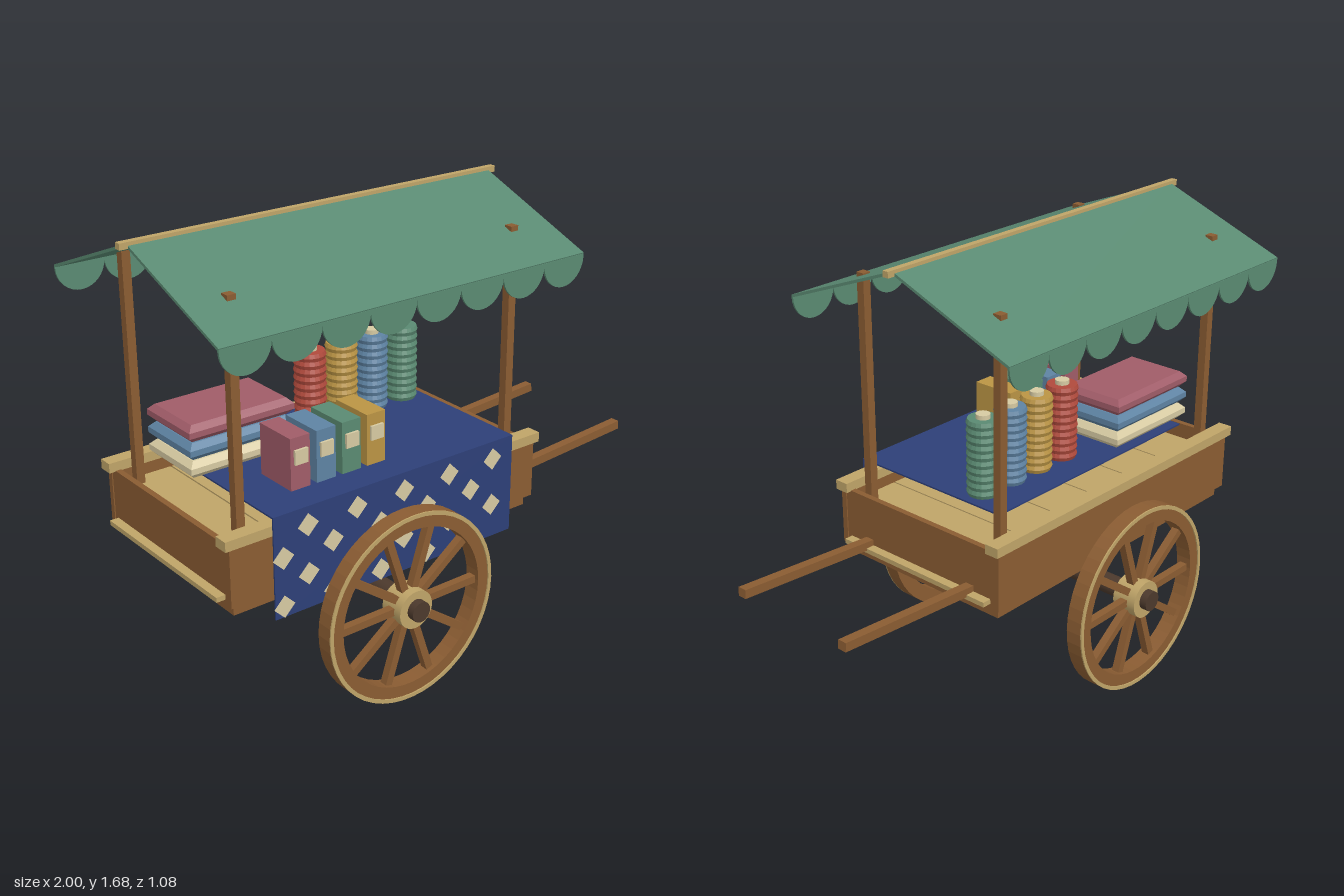
import * as THREE from 'three';

const mat = (name, color) => Object.assign(new THREE.MeshStandardMaterial({ color }), { name });

export function createModel() {
  const wood = mat('brown wood', 0x8a5c32);
  const pale = mat('pale wood', 0xbfa468);
  const dark = mat('dark axle', 0x4c392c);
  const green = mat('green canvas', 0x5a8a72);
  const navy = mat('navy cloth', 0x2d3f78);
  const cream = mat('cream', 0xd6caa2);
  const red = mat('red thread', 0xb04a3c);
  const gold = mat('gold', 0xba9444);
  const blue = mat('soft blue', 0x5e83a3);
  const rose = mat('rose', 0xa05c68);
  navy.side = THREE.DoubleSide;

  const model = new THREE.Group();
  model.name = 'marketCart';

  const add = (name, geo, material, x = 0, y = 0, z = 0, parent = model) => {
    const m = new THREE.Mesh(geo, material);
    m.name = name;
    m.position.set(x, y, z);
    parent.add(m);
    return m;
  };
  // Box given by its minimum and maximum corners
  const box = (name, material, x0, x1, y0, y1, z0, z1, parent = model) =>
    add(name, new THREE.BoxGeometry(x1 - x0, y1 - y0, z1 - z0), material,
      (x0 + x1) / 2, (y0 + y1) / 2, (z0 + z1) / 2, parent);
  const ring = (outer, inner, depth) => {
    const s = new THREE.Shape().absarc(0, 0, outer, 0, Math.PI * 2, false);
    s.holes.push(new THREE.Path().absarc(0, 0, inner, 0, Math.PI * 2, true));
    return new THREE.ExtrudeGeometry(s, { depth, bevelEnabled: false, curveSegments: 24 });
  };

  // Cart body: base, walls, planked floor
  box('base', wood, -0.87, 0.40, 0.50, 0.545, -0.36, 0.36);
  for (const s of [-1, 1]) {
    add('sideBoard', new THREE.BoxGeometry(1.31, 0.22, 0.022), wood, -0.235, 0.65, s * 0.369);
    add('sideRail', new THREE.BoxGeometry(1.346, 0.036, 0.055), pale, -0.237, 0.772, s * 0.363);
    add('endBoard', new THREE.BoxGeometry(0.022, 0.212, 0.716), wood, -0.235 + s * 0.64, 0.651, 0);
    add('endLedge', new THREE.BoxGeometry(0.04, 0.018, 0.68), pale, -0.235 + s * 0.665, 0.565, 0);
  }
  box('floorBed', wood, -0.87, 0.40, 0.66, 0.69, -0.358, 0.358);
  for (let i = 0; i < 6; i++) {
    const x = -0.86 + i * 0.209;
    box('floorPlank', pale, x, x + 0.203, 0.69, 0.70, -0.356, 0.356);
  }

  // Pull handles, rising slightly towards the free end
  for (const s of [-1, 1]) {
    const h = add('handle', new THREE.BoxGeometry(0.59, 0.033, 0.035), wood, 0.705, 0.6, s * 0.245);
    h.rotation.z = 0.071;
  }

  // Axle and wheels
  const axle = add('axle', new THREE.CylinderGeometry(0.038, 0.038, 1.08, 24), dark, -0.235, 0.36, 0);
  axle.rotation.x = Math.PI / 2;
  for (const s of [-1, 1]) {
    const wheel = new THREE.Group();
    wheel.name = s > 0 ? 'frontWheel' : 'backWheel';
    wheel.position.set(-0.235, 0.357, s * 0.464);
    if (s < 0) wheel.rotation.y = Math.PI;
    model.add(wheel);
    add('rim', ring(0.356, 0.298, 0.061), wood, 0, 0, -0.03, wheel);
    add('tyreEdge', ring(0.356, 0.342, 0.005), pale, 0, 0, 0.031, wheel);
    const hub = add('hub', new THREE.CylinderGeometry(0.071, 0.071, 0.095, 24), pale, 0, 0, 0, wheel);
    hub.rotation.x = Math.PI / 2;
    for (let i = 0; i < 10; i++) {
      const a = (i * Math.PI) / 5;
      const spoke = add('spoke', new THREE.BoxGeometry(0.25, 0.028, 0.03), wood,
        0.18 * Math.cos(a), 0.18 * Math.sin(a), 0, wheel);
      spoke.rotation.z = a;
    }
  }

  // Four posts reaching just through the canopy
  for (const x of [-0.81, 0.336])
    for (const z of [-0.313, 0.313]) box('post', wood, x - 0.016, x + 0.016, 0.54, 1.562, z - 0.016, z + 0.016);

  // Canopy: two slopes, ridge pole and scalloped valances
  const ridgeY = 1.665, eaveY = 1.474, eaveZ = 0.497, x0 = -0.97, span = 1.47;
  const slope = Math.atan2(ridgeY - eaveY, eaveZ);
  const scallops = 8, r = span / scallops / 2;
  const edge = new THREE.Shape();
  edge.moveTo(0, 0.008);
  edge.lineTo(0, 0);
  for (let i = 0; i < scallops; i++) edge.absarc(r * (2 * i + 1), 0, r, Math.PI, Math.PI * 2, false);
  edge.lineTo(span, 0.008);
  const valance = new THREE.ExtrudeGeometry(edge, { depth: 0.008, bevelEnabled: false, curveSegments: 8 });
  for (const s of [-1, 1]) {
    const panel = add('canopySlope',
      new THREE.BoxGeometry(span, 0.01, Math.hypot(eaveZ, ridgeY - eaveY)), green,
      x0 + span / 2, (ridgeY + eaveY) / 2, s * eaveZ / 2);
    panel.rotation.x = s * slope;
    add('valance', valance, green, x0, 1.467, s * 0.495 - 0.004);
  }
  box('ridgePole', pale, -1.0, 0.53, 1.656, 1.678, -0.012, 0.012);

  // Cloth over the counter with a front drop and diamonds
  box('clothTop', navy, -0.735, 0.294, 0.817, 0.823, -0.27, 0.4);
  box('clothDrop', navy, -0.735, 0.294, 0.45, 0.823, 0.394, 0.4);
  const diamond = new THREE.CircleGeometry(0.042, 4);
  for (let row = 0; row < 4; row++)
    for (let i = 0; i < 5; i++)
      add('diamond', diamond, cream, -0.6 - (row % 2) * 0.1 + i * 0.2, 0.757 - row * 0.089, 0.402);

  // Thread rolls with ridged sides
  const profile = [new THREE.Vector2(0, 0), new THREE.Vector2(0.054, 0)];
  const ridges = 10, rollH = 0.285;
  for (let i = 0; i < ridges; i++) {
    profile.push(new THREE.Vector2(0.06, ((i + 0.5) * rollH) / ridges));
    profile.push(new THREE.Vector2(0.055, ((i + 1) * rollH) / ridges));
  }
  profile.push(new THREE.Vector2(0, rollH));
  const roll = new THREE.LatheGeometry(profile, 20).toNonIndexed();
  roll.computeVertexNormals();
  [red, gold, blue, green].forEach((m, i) => {
    const x = -0.207 + i * 0.139;
    add('threadRoll', roll, m, x, 0.824, -0.12);
    add('rollCore', new THREE.CylinderGeometry(0.026, 0.026, 0.02, 16), cream, x, 1.115, -0.12);
  });

  // Folded cushions with bevelled edges
  const b = 0.02, w = 0.42 / 2 - b, d = 0.27 / 2 - b;
  const rect = new THREE.Shape([[-w, -d], [w, -d], [w, d], [-w, d]].map(p => new THREE.Vector2(...p)));
  const cushion = new THREE.ExtrudeGeometry(rect,
    { depth: 0.021, bevelThickness: b, bevelSize: b, bevelSegments: 1 });
  cushion.rotateX(-Math.PI / 2);
  [cream, blue, rose].forEach((m, i) => add('cushion', cushion, m, -0.586, 0.845 + i * 0.065, -0.115));

  // Small boxes with front labels
  [rose, blue, green, gold].forEach((m, i) => {
    const x = -0.541 + i * 0.1047;
    box('goodsBox', m, x - 0.039, x + 0.039, 0.823, 1.01, 0.11, 0.282);
    box('boxLabel', cream, x - 0.026, x + 0.026, 0.915, 0.967, 0.282, 0.291);
  });

  return model;
}
